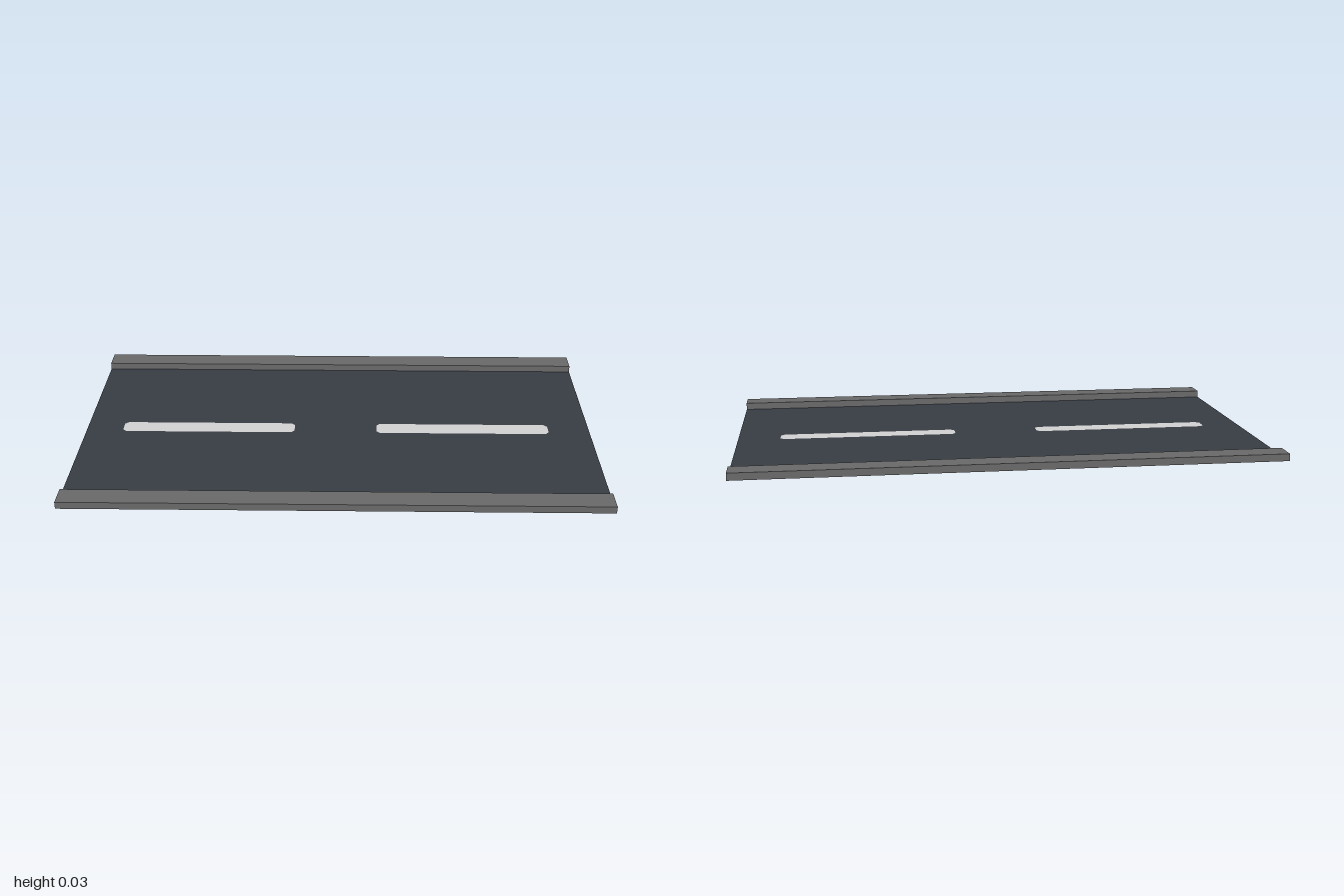
import * as THREE from 'three';

const LENGTH = 2, ROAD_HALF = 0.526, OUTER = 0.615, CURB_H = 0.027;

const mat = (name, color, side = THREE.DoubleSide) =>
  new THREE.MeshStandardMaterial({ name, color, side });

// Lane dash outline with clipped corners, listed counter-clockwise
function dashPoints(x0, x1) {
  const h = 0.037, c = 0.014;
  return [
    [x0 + c, -h], [x1 - c, -h], [x1, -h + c], [x1, h - c],
    [x1 - c, h], [x0 + c, h], [x0, h - c], [x0, -h + c],
  ].map(([x, y]) => new THREE.Vector2(x, y));
}

// Flat shape laid on the ground, facing up
function flat(shape, material, name) {
  const mesh = new THREE.Mesh(new THREE.ShapeGeometry(shape).rotateX(-Math.PI / 2), material);
  mesh.name = name;
  return mesh;
}

// Box without its underside
function openBox(w, h, d) {
  const geo = new THREE.BoxGeometry(w, h, d);
  const index = Array.from(geo.index.array);
  index.splice(18, 6);
  geo.setIndex(index);
  geo.clearGroups();
  return geo;
}

export function createModel() {
  const model = new THREE.Group();
  model.name = 'roadSection';
  const asphalt = mat('asphalt', 0x373c44);
  const concrete = mat('concrete', 0x686868);
  const paint = mat('lanePaint', 0xd0d0d0);

  // Road sheet, cut out where the dashes are inlaid
  const road = new THREE.Shape([
    [-1, -ROAD_HALF], [1, -ROAD_HALF], [1, ROAD_HALF], [-1, ROAD_HALF],
  ].map(([x, y]) => new THREE.Vector2(x, y)));

  // Lane dashes
  [[-0.856, -0.172], [0.154, 0.838]].forEach(([x0, x1], i) => {
    const points = dashPoints(x0, x1);
    road.holes.push(new THREE.Path(points.slice().reverse()));
    model.add(flat(new THREE.Shape(points), paint, `laneDash${i + 1}`));
  });
  model.add(flat(road, asphalt, 'roadSurface'));

  // Hollow curbs along both long edges
  for (const side of [1, -1]) {
    const curb = new THREE.Mesh(openBox(LENGTH, CURB_H, OUTER - ROAD_HALF), concrete);
    curb.name = side > 0 ? 'frontCurb' : 'backCurb';
    curb.position.set(0, CURB_H / 2, side * (OUTER + ROAD_HALF) / 2);
    model.add(curb);
  }
  return model;
}
